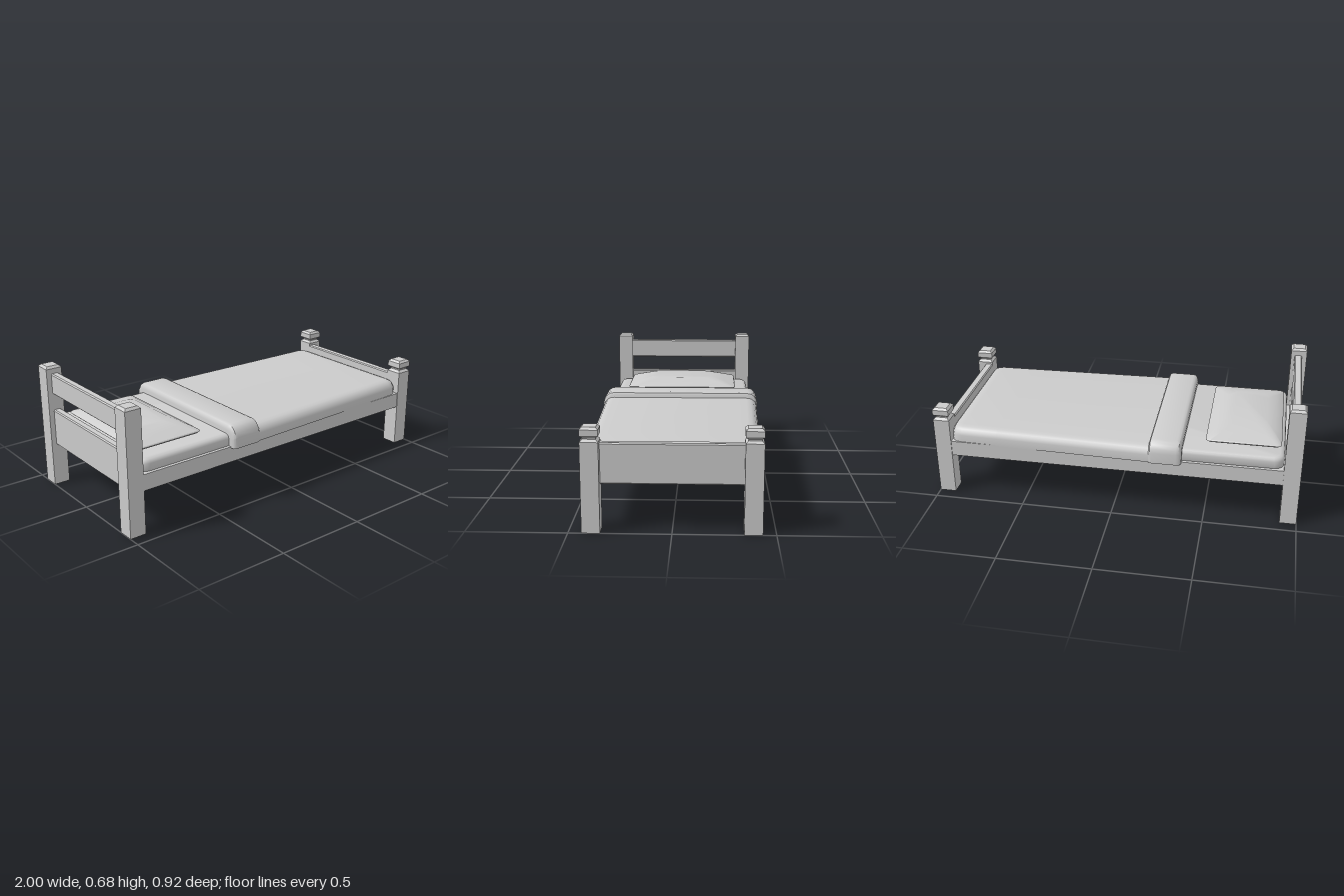
import * as THREE from 'three';
import { toCreasedNormals } from 'three/addons/utils/BufferGeometryUtils.js';

const material = new THREE.MeshStandardMaterial({ color: 0xcccccc });

// Skin a list of equal-length convex rings and cap both ends.
// Rings run counter-clockwise when seen from the end they advance towards.
function loft(rings, crease = 0.3) {
  const n = rings[0].length, index = [];
  const last = (rings.length - 1) * n;
  for (let r = 0; r < rings.length - 1; r++) {
    for (let i = 0; i < n; i++) {
      const a = r * n + i, b = r * n + (i + 1) % n;
      index.push(a, b, b + n, a, b + n, a + n);
    }
  }
  for (let i = 1; i < n - 1; i++) {
    index.push(0, i + 1, i, last, last + i, last + i + 1);
  }
  const geometry = new THREE.BufferGeometry();
  geometry.setAttribute('position', new THREE.Float32BufferAttribute(rings.flat(2), 3));
  geometry.setIndex(index);
  return toCreasedNormals(geometry, crease);
}

// Horizontal rectangle with rounded corners (radius 0 gives four points).
function rectRing(cx, cz, hx, hz, y, radius = 0, steps = 5) {
  const ring = [];
  const corners = [[1, 1], [1, -1], [-1, -1], [-1, 1]];
  corners.forEach(([sx, sz], c) => {
    const count = radius ? steps : 0;
    for (let i = 0; i <= count; i++) {
      const a = Math.PI / 2 - (c + (count ? i / count : 0.5)) * Math.PI / 2;
      ring.push([
        cx + sx * (hx - radius) + radius * Math.cos(a), y,
        cz + sz * (hz - radius) + radius * Math.sin(a),
      ]);
    }
  });
  return ring;
}

// Draped cloth outline across the bed at one x station.
function drapeRing(x, halfWidth, top, bottom) {
  const h = top - bottom;
  const side = [[0, 0], [0, 0.5], [0.006, 0.68], [0.018, 0.85], [0.035, 0.96], [0.06, 1]];
  const right = side.map(([inset, t]) => [x, bottom + h * t, halfWidth - inset]);
  const left = right.map(([px, py, pz]) => [px, py, -pz]);
  return [...left, ...right.reverse()];
}

export function createModel() {
  const bed = new THREE.Group();
  bed.name = 'bed';

  function add(name, geometry) {
    const mesh = new THREE.Mesh(geometry, material);
    mesh.name = name;
    bed.add(mesh);
  }

  // Square posts: [half width, height] pairs
  const headProfile = [[0.045, 0], [0.045, 0.67], [0.033, 0.682]];
  const footProfile = [[0.045, 0], [0.045, 0.45], [0.032, 0.463], [0.032, 0.47],
    [0.045, 0.48], [0.045, 0.51], [0.033, 0.522]];
  for (const [side, z] of [['left', -0.39], ['right', 0.39]]) {
    const suffix = side === 'left' ? 'Back' : 'Front';
    add('headPost' + suffix, loft(headProfile.map(([h, y]) => rectRing(-0.955, z, h, h, y))));
    add('footPost' + suffix, loft(footProfile.map(([h, y]) => rectRing(0.955, z, h, h, y))));
  }

  // Boards between the posts, with finely chamfered edges
  function board(name, x0, x1, y0, y1) {
    const c = 0.006, cx = (x0 + x1) / 2, hx = (x1 - x0) / 2;
    add(name, loft([[hx - c, y0], [hx, y0 + c], [hx, y1 - c], [hx - c, y1]]
      .map(([h, y]) => rectRing(cx, 0, h, 0.36, y))));
  }
  board('upperHeadRail', -0.972, -0.93, 0.527, 0.642);
  board('lowerHeadboard', -0.972, -0.93, 0.233, 0.437);
  board('footboard', 0.91, 0.955, 0.233, 0.437);

  // Bed base: wide side rails closed by a solid slab
  add('bedBase', loft([rectRing(0, 0, 0.912, 0.431, 0.235), rectRing(0, 0, 0.912, 0.431, 0.322)]));
  add('baseEnds', loft([rectRing(-0.005, 0, 0.945, 0.345, 0.236), rectRing(-0.005, 0, 0.945, 0.345, 0.315)]));

  // Mattress with soft edges
  add('mattress', loft([[0.01, 0.31], [0, 0.325], [0, 0.362], [0.004, 0.373], [0.012, 0.381], [0.025, 0.385]]
    .map(([inset, y]) => rectRing(0, 0, 0.91 - inset, 0.415 - inset, y, 0.055 - inset)), 0.6));

  // Blanket narrowing towards a rounded foot end: [x, half width, top]
  const blanket = [[-0.33, 0.457, 0.405], [-0.2, 0.455, 0.405], [0.65, 0.431, 0.405], [0.85, 0.426, 0.405],
    [0.88, 0.421, 0.403], [0.897, 0.41, 0.397], [0.907, 0.395, 0.386], [0.91, 0.38, 0.37]];
  add('blanket', loft(blanket.map(([x, w, top]) => drapeRing(x, w, top, 0.318)), 0.6));

  // Turned-down fold of the blanket
  const fold = [[-0.37, 0.44, 0.408], [-0.366, 0.452, 0.423], [-0.357, 0.459, 0.433], [-0.342, 0.461, 0.437],
    [-0.215, 0.461, 0.437], [-0.202, 0.459, 0.432], [-0.195, 0.453, 0.42]];
  add('blanketFold', loft(fold.map(([x, w, top]) => drapeRing(x, w, top, 0.316)), 0.6));

  // Pillow, widest at its seam: [half length, half width, height, corner radius]
  const pillow = [[0.15, 0.27, 0.383, 0.03], [0.195, 0.33, 0.403, 0.025], [0.202, 0.335, 0.41, 0.022],
    [0.197, 0.33, 0.416, 0.025], [0.16, 0.265, 0.436, 0.04], [0.115, 0.19, 0.456, 0.05]];
  add('pillow', loft(pillow.map(([hx, hz, y, r]) => rectRing(-0.688, 0, hx, hz, y, r)), 0.45));

  return bed;
}
